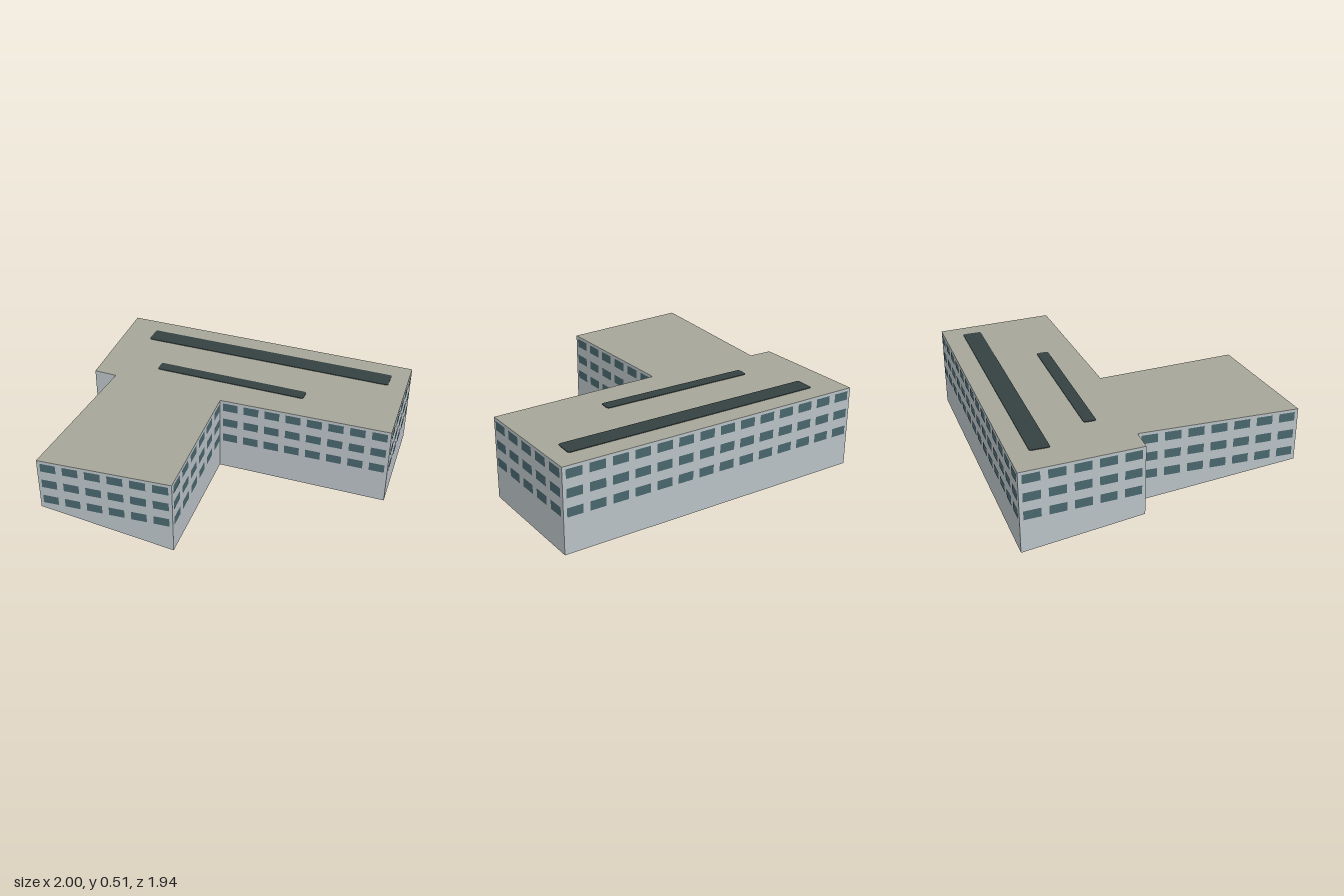
import * as THREE from 'three';

const ROOF_Y = 0.502;

// Footprint corners, running round the plan: x, z, and the sloping ground height there
const corners = [
  [-1, -0.64, 0.015], [0.84, -0.97, 0], [1, -0.27, 0.01], [-0.01, -0.06, 0.025],
  [0.185, 0.775, 0.045], [-0.575, 0.968, 0.18], [-0.705, 0.03, 0.075], [-0.845, 0.05, 0.08],
];
const windowsPerWall = [14, 5, 8, 6, 6, 7, 0, 5];
const planTriangles = [[0, 7, 6], [6, 5, 4], [6, 4, 0], [0, 4, 3], [0, 3, 1], [1, 3, 2]];

const top = ([x, z]) => [x, ROOF_Y, z];
const bottom = ([x, z, y]) => [x, y, z];

function surface(name, triangles, material) {
  const geometry = new THREE.BufferGeometry();
  geometry.setAttribute('position', new THREE.Float32BufferAttribute(triangles.flat(2), 3));
  geometry.computeVertexNormals();
  const mesh = new THREE.Mesh(geometry, material);
  mesh.name = name;
  return mesh;
}

// Dark strip on the roof, between two end points, with softened corners
function roofStrip(name, [x1, z1], [x2, z2], width, material) {
  const l = Math.hypot(x2 - x1, z2 - z1) / 2, w = width / 2, r = 0.015;
  const shape = new THREE.Shape();
  shape.moveTo(-l + r, -w);
  shape.lineTo(l - r, -w);
  shape.quadraticCurveTo(l, -w, l, -w + r);
  shape.lineTo(l, w - r);
  shape.quadraticCurveTo(l, w, l - r, w);
  shape.lineTo(-l + r, w);
  shape.quadraticCurveTo(-l, w, -l, w - r);
  shape.lineTo(-l, -w + r);
  shape.quadraticCurveTo(-l, -w, -l + r, -w);
  const geometry = new THREE.ExtrudeGeometry(shape, { depth: 0.004, bevelEnabled: false, curveSegments: 3 });
  geometry.rotateX(-Math.PI / 2);
  const mesh = new THREE.Mesh(geometry, material);
  mesh.name = name;
  mesh.position.set((x1 + x2) / 2, ROOF_Y, (z1 + z2) / 2);
  mesh.rotation.y = -Math.atan2(z2 - z1, x2 - x1);
  return mesh;
}

export function createModel() {
  const paint = (name, color) => {
    const material = new THREE.MeshStandardMaterial({ color });
    material.name = name;
    return material;
  };
  const wallPaint = paint('pale grey wall', 0xb9c1c5);
  const roofPaint = paint('warm grey roof', 0xa5a599);
  const glass = paint('teal window glass', 0x48666d);
  const stripPaint = paint('dark roof strip', 0x354242);

  const model = new THREE.Group();
  model.name = 'officeBlock';

  // Roof and the uneven underside share one plan triangulation
  model.add(surface('roof', planTriangles.map(t => t.map(i => top(corners[i]))), roofPaint));
  model.add(surface('underside',
    planTriangles.map(([a, b, c]) => [a, c, b].map(i => bottom(corners[i]))), wallPaint));

  // Walls, each with three rows of evenly spaced windows
  corners.forEach((a, i) => {
    const b = corners[(i + 1) % corners.length];
    const wall = new THREE.Group();
    wall.name = `wall${i + 1}`;
    wall.add(surface('wallFace', [
      [bottom(b), bottom(a), top(a)],
      [bottom(b), top(a), top(b)],
    ], wallPaint));

    const dx = b[0] - a[0], dz = b[1] - a[1], length = Math.hypot(dx, dz);
    const nx = dz / length, nz = -dx / length;
    const count = windowsPerWall[i];
    const pane = new THREE.PlaneGeometry(0.7 * length / Math.max(count, 1), 0.053);
    for (let k = 0; k < count; k++) {
      const t = (k + 0.5) / count;
      for (const y of [0.241, 0.35, 0.459]) {
        const mesh = new THREE.Mesh(pane, glass);
        mesh.name = 'window';
        mesh.position.set(a[0] + dx * t + nx * 0.002, y, a[1] + dz * t + nz * 0.002);
        mesh.rotation.y = Math.atan2(nx, nz);
        wall.add(mesh);
      }
    }
    model.add(wall);
  });

  // Long and short strips on the roof
  model.add(roofStrip('longRoofStrip', [-0.782, -0.502], [0.772, -0.778], 0.115, stripPaint));
  model.add(roofStrip('shortRoofStrip', [-0.53, -0.2], [0.4, -0.362], 0.073, stripPaint));

  return model;
}
